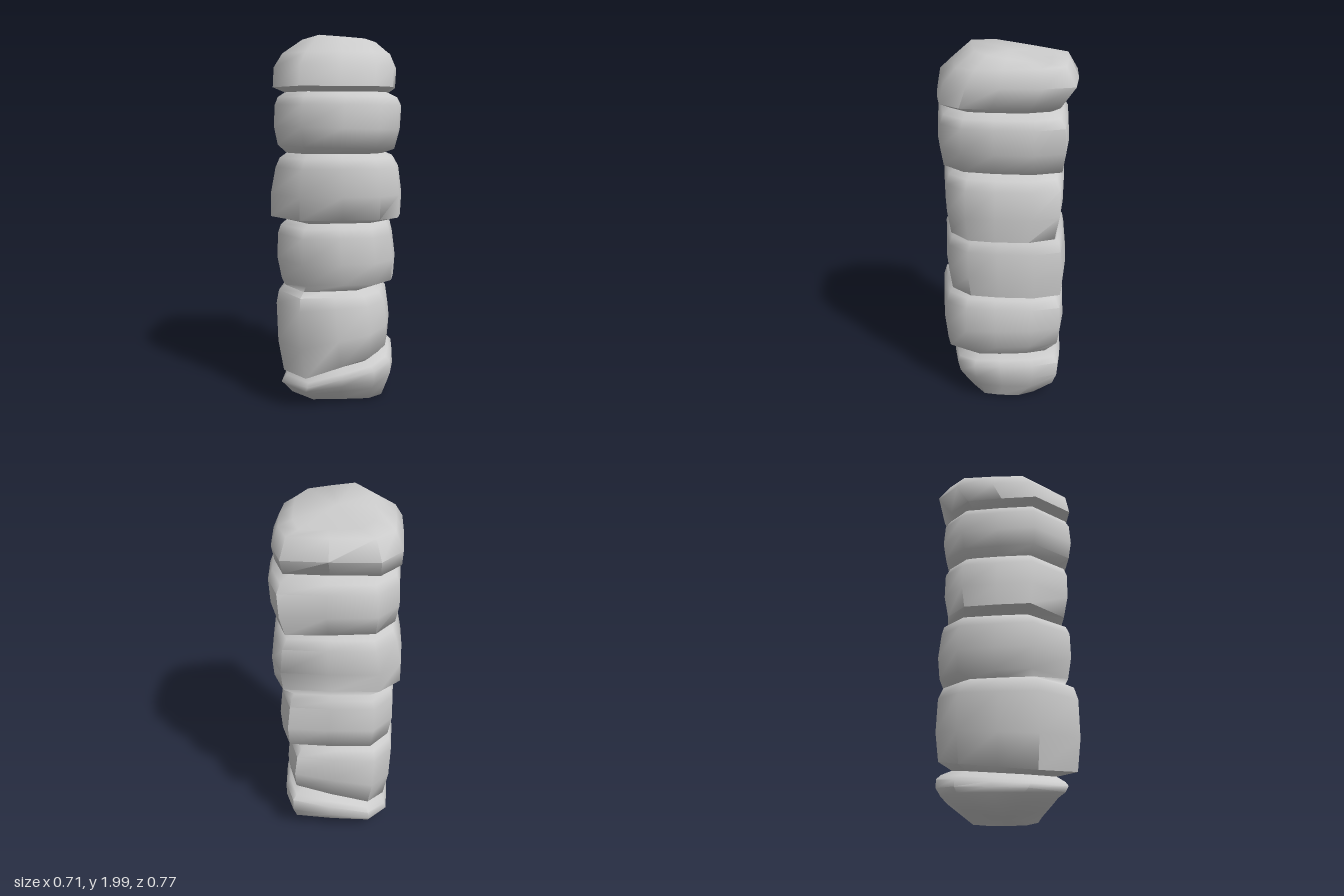
import * as THREE from 'three';
import { toCreasedNormals } from 'three/addons/utils/BufferGeometryUtils.js';

// Plan outline of a rough-hewn block, counter-clockwise seen from above (unit x, z)
const outline = [
  [-1, 0.46], [-0.48, 1], [0.15, 0.9], [0.7, 0.78], [0.97, 0.45], [1, 0],
  [0.97, -0.55], [0.8, -0.97], [0.1, -1], [-0.65, -0.98], [-0.97, -0.65], [-1, -0.1],
];

// Stones from the foot up: lip heights, extents [xMin, xMax, zMin, zMax] at the
// lower and upper lip, slope of each lip, and depth of the seam above the stone
const stones = [
  { y: [0.08, 0.19], low: [-0.3, 0.29, -0.31, 0.27], high: [-0.3, 0.31, -0.34, 0.33], slope: [0.05, 0.22], seam: 1 },
  { y: [0.27, 0.62], low: [-0.29, 0.28, -0.33, 0.37], high: [-0.33, 0.27, -0.34, 0.39], slope: [0.28, 0], seam: 1 },
  { y: [0.69, 0.98], low: [-0.3, 0.31, -0.34, 0.34], high: [-0.32, 0.3, -0.335, 0.36], slope: [0, 0], seam: 0.2 },
  { y: [1.035, 1.345], low: [-0.355, 0.345, -0.3, 0.33], high: [-0.32, 0.33, -0.33, 0.36], slope: [0, 0], seam: 1 },
  { y: [1.41, 1.665], low: [-0.31, 0.31, -0.33, 0.37], high: [-0.325, 0.35, -0.34, 0.38], slope: [-0.04, 0], seam: 1 },
];

const lerp = THREE.MathUtils.lerp;

// One closed ring of points; slope lifts it toward +x and -z
function ring(y, [x0, x1, z0, z1], slopeX = 0, slopeZ = -0.35 * slopeX) {
  return outline.map(([u, v]) => {
    const x = (x0 + x1) / 2 + (u * (x1 - x0)) / 2;
    const z = (z0 + z1) / 2 + (v * (z1 - z0)) / 2;
    return new THREE.Vector3(x, Math.min(2, y + slopeX * x + slopeZ * z), z);
  });
}

// Pulls the sides in; the left and back sides follow the seam depth
function inset([x0, x1, z0, z1], d, seam) {
  return [x0 + d * 0.8, x1 - d * (0.3 + 0.9 * seam), z0 + d * (0.2 + seam), z1 - d];
}

// Lower lip, belly, upper lip, rounded edge and the seam above
function stoneRings({ y, low, high, slope, seam }) {
  const body = [0, 0.4, 0.87].map((t) => {
    const bulge = t === 0.4 ? 0.012 : 0;
    const box = low.map((v, i) => lerp(v, high[i], t) + (i % 2 ? bulge : -bulge));
    return ring(lerp(y[0], y[1], t), box, lerp(slope[0], slope[1], t));
  });
  return [
    ...body,
    ring(y[1] + 0.01, inset(high, 0.022, seam), slope[1]),
    ring(y[1] + 0.035, inset(high, 0.065, seam), slope[1]),
  ];
}

// Skins the rings and closes both ends
function stackGeometry() {
  const rings = [
    ring(0.01, [-0.26, 0.26, -0.2, 0.2]),
    ...stones.flatMap(stoneRings),
    // crown stone
    ring(1.725, [-0.33, 0.31, -0.31, 0.385]),
    ring(1.83, [-0.33, 0.315, -0.385, 0.365]),
    ring(1.91, [-0.29, 0.28, -0.33, 0.29], 0, -0.04),
    ring(1.965, [-0.19, 0.21, -0.25, 0.18], -0.04, 0.14),
  ];
  const n = outline.length;
  const last = (rings.length - 1) * n;
  const foot = rings.length * n;
  const crown = foot + 1;
  const index = [];
  for (let j = 0; j < n; j++) {
    const k = (j + 1) % n;
    for (let i = 0; i < last; i += n) {
      index.push(i + j, i + k, i + n + k, i + j, i + n + k, i + n + j);
    }
    index.push(k, j, foot, last + j, last + k, crown);
  }
  const points = [...rings.flat(), new THREE.Vector3(0, 0, 0), new THREE.Vector3(0, 1.96, -0.03)];
  const geo = new THREE.BufferGeometry().setFromPoints(points);
  geo.setIndex(index);
  return toCreasedNormals(geo, 1.15);
}

export function createModel() {
  const group = new THREE.Group();
  group.name = 'stonePillar';
  const material = new THREE.MeshStandardMaterial({ color: 0xcccccc });
  const stack = new THREE.Mesh(stackGeometry(), material);
  stack.name = 'stackedStones';
  group.add(stack);
  return group;
}
